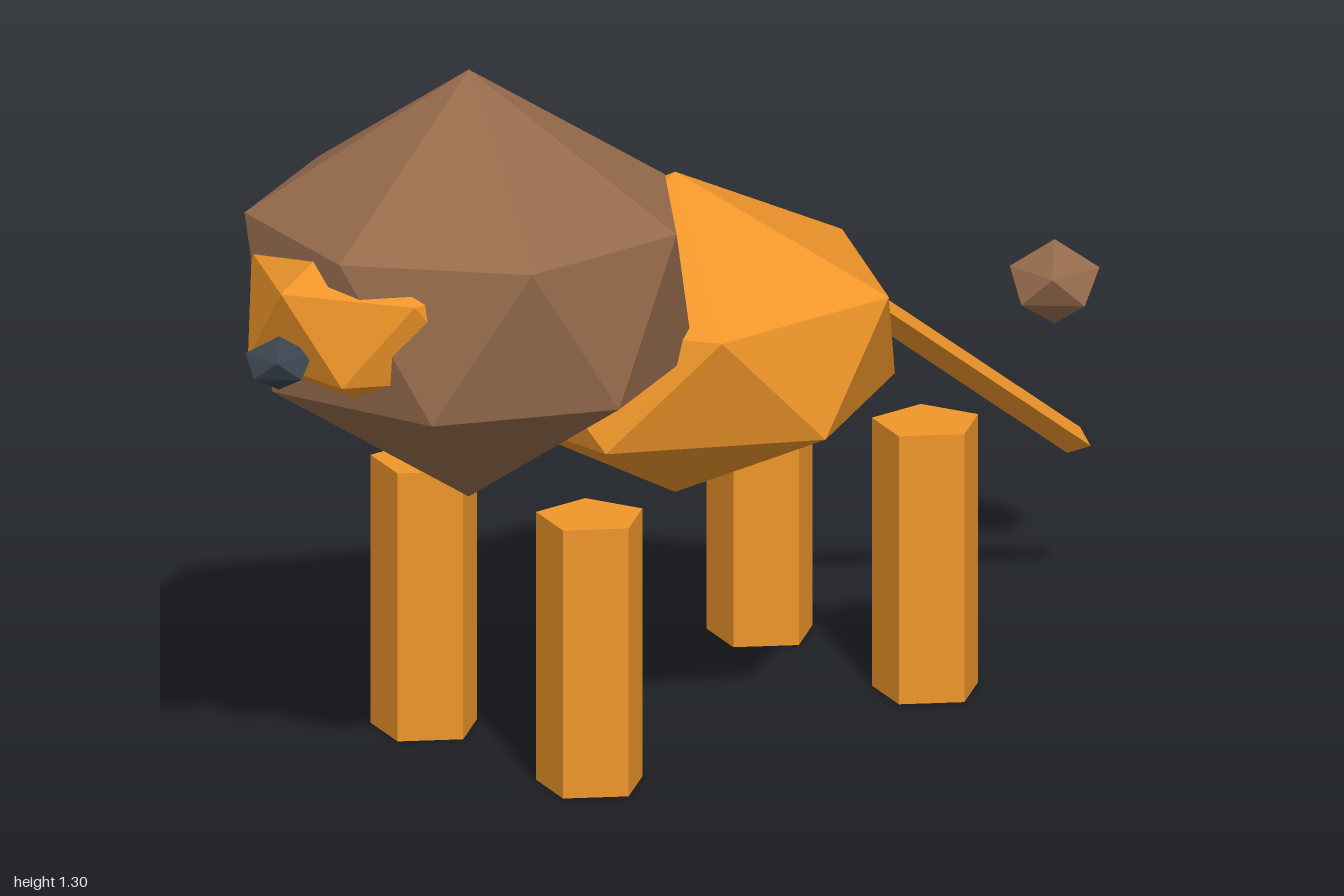
import * as THREE from 'three';

const paint = (color) => new THREE.MeshStandardMaterial({ color, flatShading: true, roughness: 0.9 });

// Faceted ball: two poles and two rings of n corners, the upper ring turned by half a step
function facetedBall(n, rx, ry) {
  const ringY = 0.35 * ry;
  const corner = (i, y) => {
    const a = (i / n) * Math.PI * 2;
    return [Math.cos(a) * rx, y, Math.sin(a) * rx];
  };
  const top = [0, ry, 0], bottom = [0, -ry, 0];
  const points = [];
  for (let i = 0; i < n; i++) {
    const u0 = corner(i + 0.5, ringY), u1 = corner(i + 1.5, ringY);
    const l0 = corner(i, -ringY), l1 = corner(i + 1, -ringY);
    points.push(top, u1, u0, u0, l1, l0, u0, u1, l1, bottom, l0, l1);
  }
  const geometry = new THREE.BufferGeometry();
  geometry.setAttribute('position', new THREE.Float32BufferAttribute(points.flat(), 3));
  geometry.computeVertexNormals();
  return geometry;
}

// Prism with one corner towards +x
const prism = (sides, radius, height) =>
  new THREE.CylinderGeometry(radius, radius, height, sides, 1, false, Math.PI / 2);

export function createModel() {
  const model = new THREE.Group();
  model.name = 'lion';
  const fur = paint(0xf0962a);
  const brown = paint(0x966b4c);
  const dark = paint(0x3a444f);

  const add = (name, geometry, material, x, y, z) => {
    const mesh = new THREE.Mesh(geometry, material);
    mesh.name = name;
    mesh.position.set(x, y, z);
    model.add(mesh);
    return mesh;
  };

  // Body, mane and face
  add('body', facetedBall(6, 0.4, 0.3), fur, 0, 0.705, -0.01);
  add('mane', facetedBall(7, 0.4, 0.4), brown, 0, 0.905, 0.485);
  add('head', facetedBall(6, 0.25, 0.22), fur, 0, 0.905, 0.685);
  add('nose', facetedBall(4, 0.06, 0.05), dark, 0, 0.855, 0.94);

  // Legs
  const leg = prism(5, 0.1, 0.502);
  for (const [end, z] of [['front', 0.39], ['back', -0.415]]) {
    for (const [side, x] of [['Left', 0.22], ['Right', -0.22]]) {
      add(`${end}${side}Leg`, leg, fur, x, 0.251, z);
    }
  }

  // Tail sloping down and back, with a tuft above its end
  const tail = add('tail', prism(3, 0.03, 0.704), fur, 0, 0.495, -0.696);
  tail.rotation.x = 0.935;
  add('tailTuft', facetedBall(4, 0.08, 0.079), brown, 0, 0.6, -0.92);

  return model;
}
